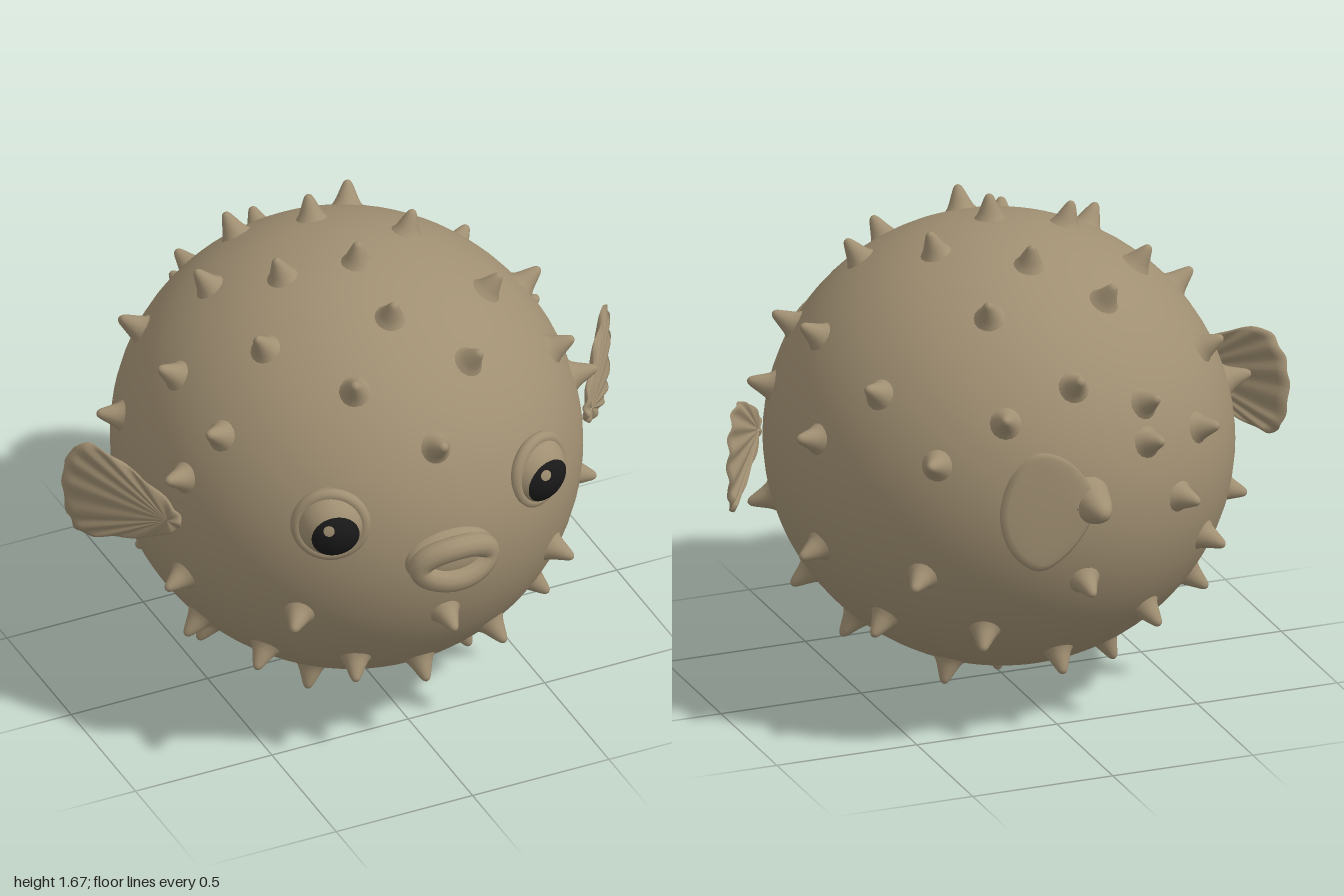
import * as THREE from 'three';
import { ParametricGeometry } from 'three/addons/geometries/ParametricGeometry.js';

const skin = new THREE.MeshStandardMaterial({ color: 0xa08f72 });
skin.name = 'sandy skin';
const black = new THREE.MeshStandardMaterial({ color: 0x1a1a1a });
black.name = 'pupil black';

const CENTER = new THREE.Vector3(0, 0.835, 0.02);
const RADII = new THREE.Vector3(0.78, 0.755, 0.81);

function add(parent, name, geometry, material = skin) {
  const mesh = new THREE.Mesh(geometry, material);
  mesh.name = name;
  parent.add(mesh);
  return mesh;
}

function aim(object, from, to) {
  object.quaternion.setFromUnitVectors(from, to.clone().normalize());
}

const X = new THREE.Vector3(1, 0, 0);
const Y = new THREE.Vector3(0, 1, 0);
const Z = new THREE.Vector3(0, 0, 1);

function lathe(points, sides) {
  const curve = new THREE.SplineCurve(points.map(([r, y]) => new THREE.Vector2(r, y)));
  const profile = curve.getPoints(10);
  profile.forEach((p) => { p.x = Math.max(0, p.x); });
  return new THREE.LatheGeometry(profile, sides);
}

// Thin closed fan: rings run from the back hub over the rim to the front hub
function finGeometry(outline, hub, thickness, ribs) {
  const rim = new THREE.CatmullRomCurve3(outline.map(([x, y]) => new THREE.Vector3(x, y, 0)), true);
  const p = new THREE.Vector3();
  return new ParametricGeometry((u, v, target) => {
    const side = 2 * v - 1;
    const t = Math.max(0.02, 1 - Math.abs(side));
    rim.getPoint(u % 1, p);
    const h = thickness * Math.sqrt(Math.max(0, 1 - t ** 4));
    const ripple = 0.006 * t * Math.cos(u * ribs * Math.PI * 2);
    target.set(hub[0] + (p.x - hub[0]) * t, hub[1] + (p.y - hub[1]) * t, Math.sign(side) * h + ripple);
  }, 96, 20);
}

// Spike positions near the body surface; mirrored ones appear on both sides
const MIDDLE_SPIKES = [
  [0, 1.22, 0.72], [0, 1.52, 0.36], [0, 1.59, 0.1], [0, 1.55, -0.255], [0, 1.26, -0.66],
  [0, 0.6, 0.81], [0, 0.29, 0.6], [0, 0.06, 0.03], [0, 0.6, -0.76], [0, 0.25, -0.52],
  [0.25, 1.55, -0.04], [-0.24, 1.55, 0.03], [-0.42, 1.45, -0.155],
  [-0.24, 1.05, -0.72], [-0.36, 0.83, -0.69],
];
const MIRRORED_SPIKES = [
  [0.21, 1.39, 0.53], [0.41, 1.45, 0.25], [0.21, 1.46, -0.42], [0.25, 1.17, -0.67],
  [0.63, 1.22, 0.345], [0.64, 1.28, 0.04], [0.6, 1.22, -0.37], [0.47, 1.025, -0.6],
  [0.75, 1.01, -0.19], [0.72, 1.03, 0.27],
  [0.46, 0.64, 0.63], [0.7, 0.64, 0.26], [0.72, 0.62, -0.18], [0.5, 0.62, -0.55],
  [0.25, 0.38, 0.62], [0.49, 0.37, 0.42], [0.62, 0.38, 0.18], [0.58, 0.36, -0.34],
  [0.3, 0.38, -0.6], [0.51, 0.25, 0.04], [0.28, 0.16, 0.33], [0.28, 0.16, -0.23],
];

function addSpikes(model) {
  const spikes = new THREE.Group();
  spikes.name = 'spikes';
  model.add(spikes);
  const geometry = lathe([[0.066, -0.016], [0.044, 0.008], [0.03, 0.038], [0.018, 0.066], [0.01, 0.078], [0, 0.082]], 16);
  const all = [...MIDDLE_SPIKES];
  for (const [x, y, z] of MIRRORED_SPIKES) all.push([x, y, z], [-x, y, z]);
  for (const point of all) {
    // Push the point onto the ellipsoid, then follow its normal
    const d = new THREE.Vector3(...point).sub(CENTER).divide(RADII).normalize();
    const spike = add(spikes, 'spike', geometry);
    spike.position.copy(d).multiply(RADII).add(CENTER);
    aim(spike, Y, d.clone().divide(RADII));
  }
}

function addEye(model, side) {
  const eye = new THREE.Group();
  eye.name = side > 0 ? 'leftEye' : 'rightEye';
  eye.position.set(0.365 * side, 1.01, 0.67);
  model.add(eye);
  const facing = new THREE.Vector3(0.42 * side, 0.08, 0.9).normalize();

  add(eye, 'eyeball', new THREE.SphereGeometry(0.12, 32, 24));
  const lid = add(eye, 'eyelidRing', new THREE.TorusGeometry(0.112, 0.022, 12, 40));
  aim(lid, Z, facing);
  lid.position.copy(facing).multiplyScalar(0.035);

  // Pupil and its glint are thin caps just above the eyeball
  const cap = (name, radius, angle, direction, material) => {
    const mesh = add(eye, name, new THREE.SphereGeometry(radius, 28, 10, 0, Math.PI * 2, 0, angle), material);
    aim(mesh, Y, direction);
  };
  cap('pupil', 0.123, 0.72, new THREE.Vector3(0.25 * side, -0.1, 0.95), black);
  cap('glint', 0.126, 0.15, new THREE.Vector3(0.25 * side - 0.22, 0.26, 0.9), skin);
}

function addMouth(model) {
  const mouth = new THREE.Group();
  mouth.name = 'mouth';
  mouth.position.set(0, 0.855, 0);
  model.add(mouth);
  const base = add(mouth, 'mouthBase', new THREE.SphereGeometry(1, 32, 20).scale(0.16, 0.1, 0.075));
  base.position.z = 0.81;
  const points = [];
  for (let i = 0; i < 24; i++) {
    const a = (i / 24) * Math.PI * 2;
    const c = Math.cos(a);
    points.push(new THREE.Vector3(0.122 * c, 0.062 * Math.sin(a), 0.88 - 0.025 * c * c));
  }
  add(mouth, 'lips', new THREE.TubeGeometry(new THREE.CatmullRomCurve3(points, true), 64, 0.041, 12, true));
}

export function createModel() {
  const model = new THREE.Group();
  model.name = 'pufferfish';

  const body = add(model, 'body', new THREE.SphereGeometry(1, 64, 44).scale(RADII.x, RADII.y, RADII.z));
  body.position.copy(CENTER);
  addSpikes(model);
  addMouth(model);

  // Side fins sweep outwards and back
  const sideFin = finGeometry([
    [0, 0], [0.05, -0.06], [0.25, -0.14], [0.39, -0.165], [0.435, -0.11],
    [0.458, 0.02], [0.435, 0.13], [0.365, 0.2], [0.2, 0.155], [0.04, 0.06],
  ], [0.05, 0], 0.012, 12);
  for (const side of [1, -1]) {
    addEye(model, side);
    const holder = new THREE.Group();
    holder.name = side > 0 ? 'leftFin' : 'rightFin';
    holder.scale.x = side;
    model.add(holder);
    const fin = add(holder, 'finBlade', sideFin);
    fin.position.set(0.74, 0.88, 0.31);
    fin.rotation.y = 0.96;
  }

  // Tail stub with a flat fin turned to one side
  const stub = add(model, 'tailStub', lathe([[0.1, -0.03], [0.075, 0.01], [0.062, 0.06], [0.045, 0.11], [0.022, 0.148], [0, 0.155]], 24));
  stub.position.set(0, 0.9, -0.775);
  aim(stub, Y, new THREE.Vector3(0, 0, -1));
  const tail = add(model, 'tailFin', finGeometry([
    [0, -0.03], [0.09, -0.16], [0.19, -0.21], [0.285, -0.14], [0.33, 0],
    [0.29, 0.14], [0.2, 0.21], [0.09, 0.17], [0, 0.04],
  ], [0.06, 0], 0.009, 0));
  tail.position.set(0, 0.9, -0.838);
  aim(tail, X, new THREE.Vector3(1, 0, 0.05));

  return model;
}
